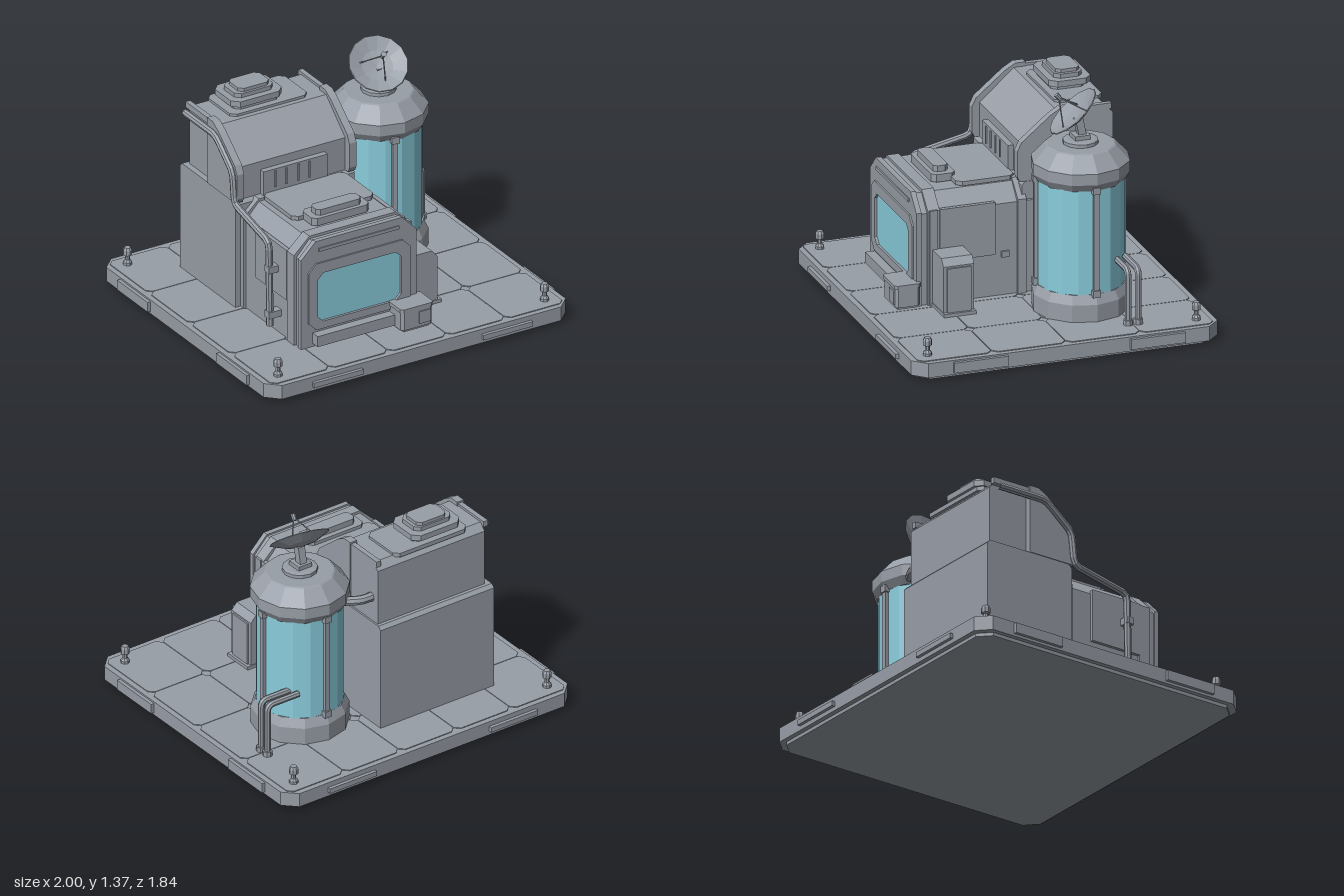
import * as THREE from 'three';

export function createModel() {
  const root = new THREE.Group();
  const grey = new THREE.MeshStandardMaterial({ color: 0x989ea7 });
  grey.name = 'panel grey';
  const cyan = new THREE.MeshStandardMaterial({ color: 0x8acddd });
  cyan.name = 'glass cyan';

  const flat = (g) => {
    const f = g.index ? g.toNonIndexed() : g;
    f.computeVertexNormals();
    return f;
  };
  const add = (name, geo, mat = grey) => {
    const m = new THREE.Mesh(geo, mat);
    m.name = name;
    root.add(m);
    return m;
  };
  // box given by its min and max on each axis
  const box = (name, x0, x1, y0, y1, z0, z1, mat) =>
    add(name, new THREE.BoxGeometry(x1 - x0, y1 - y0, z1 - z0)
      .translate((x0 + x1) / 2, (y0 + y1) / 2, (z0 + z1) / 2), mat);
  const shapeOf = (pts) => new THREE.Shape(pts.map(([a, b]) => new THREE.Vector2(a, b)));
  const extrude = (shape, depth) => new THREE.ExtrudeGeometry(shape, { depth, bevelEnabled: false });
  // rectangle with cut corners
  const cutRect = (x0, x1, y0, y1, c) => [
    [x0 + c, y0], [x1 - c, y0], [x1, y0 + c], [x1, y1 - c],
    [x1 - c, y1], [x0 + c, y1], [x0, y1 - c], [x0, y0 + c]];
  // horizontal slab with cut corners
  const slab = (name, x0, x1, z0, z1, y0, y1, c) =>
    add(name, extrude(shapeOf(cutRect(x0, x1, -z1, -z0, c)), y1 - y0).rotateX(-Math.PI / 2).translate(0, y0, 0));
  // upright outline in x, y run along z
  const alongZ = (name, pts, z0, z1, mat) =>
    add(name, extrude(shapeOf(pts), z1 - z0).translate(0, 0, z0), mat);
  // side outline in z, y run along x
  const alongX = (name, pts, x0, x1) =>
    add(name, extrude(shapeOf(pts), x1 - x0).rotateY(-Math.PI / 2).translate(x1, 0, 0));
  const lathe = (name, pts, sides, x, z, mat) =>
    add(name, flat(new THREE.LatheGeometry(pts.map(([r, y]) => new THREE.Vector2(r, y)), sides)).translate(x, 0, z), mat);
  // pipe with mitred straight runs
  const pipe = (name, pts, r) => {
    const path = new THREE.CurvePath();
    const v = pts.map((p) => new THREE.Vector3(...p));
    let from = v[0];
    for (let i = 1; i < v.length - 1; i++) {
      const bend = Math.min(0.04, v[i].distanceTo(v[i - 1]) / 3, v[i].distanceTo(v[i + 1]) / 3);
      const a = v[i].clone().add(v[i - 1].clone().sub(v[i]).setLength(bend));
      const b = v[i].clone().add(v[i + 1].clone().sub(v[i]).setLength(bend));
      path.add(new THREE.LineCurve3(from, a));
      path.add(new THREE.QuadraticBezierCurve3(a, v[i], b));
      from = b;
    }
    path.add(new THREE.LineCurve3(from, v[v.length - 1]));
    return add(name, flat(new THREE.TubeGeometry(path, 48, r, 8)));
  };

  // Base platform with deck tiles and edge tabs
  slab('baseFoot', -0.95, 0.95, -0.87, 0.87, 0, 0.03, 0.07);
  slab('basePlatform', -0.98, 0.98, -0.9, 0.9, 0.02, 0.105, 0.075);
  for (let i = 0; i < 5; i++) for (let j = 0; j < 4; j++) {
    const x = -0.95 + i * 0.38, z = -0.87 + j * 0.435;
    slab('deckTile', x + 0.002, x + 0.378, z + 0.002, z + 0.433, 0.104, 0.11, 0.03);
  }
  for (const s of [-1, 1]) {
    for (const t of [-1, 1]) {
      const mid = 0.55 * t;
      box('edgeTab', mid - 0.16, mid + 0.16, 0.045, 0.075, s * 0.905 - 0.015, s * 0.905 + 0.015);
      box('sideTab', s * 0.985 - 0.015, s * 0.985 + 0.015, 0.035, 0.095, t * 0.52 - 0.16, t * 0.52 + 0.16);
      // corner bollards
      lathe('cornerPost', [[0, 0.1], [0.026, 0.1], [0.026, 0.125], [0.014, 0.14], [0.014, 0.165],
        [0.026, 0.17], [0.026, 0.2], [0.018, 0.215], [0, 0.215]], 8, s * 0.865, t * 0.79);
    }
  }

  // Front cabin
  const arch = (o) => [[-0.595 - o, 0.1], [0.155 + o, 0.1], [0.155 + o, 0.66 + o], [0.06, 0.755 + o],
    [-0.5, 0.755 + o], [-0.595 - o, 0.66 + o]];
  alongZ('cabinBody', arch(-0.01), -0.1, 0.575);
  alongZ('cabinRib', arch(0.006), 0.46, 0.53);
  alongZ('cabinRearRib', arch(0.006), -0.05, 0.0);
  const frame = shapeOf(arch(0));
  frame.holes.push(new THREE.Path(cutRect(-0.5, 0.06, 0.245, 0.565, 0.035).map(([a, b]) => new THREE.Vector2(a, b))));
  add('windowFrame', extrude(frame, 0.03).translate(0, 0, 0.565));
  const trim = shapeOf(cutRect(-0.55, 0.11, 0.21, 0.62, 0.05));
  trim.holes.push(new THREE.Path(cutRect(-0.49, 0.05, 0.255, 0.555, 0.035).map(([a, b]) => new THREE.Vector2(a, b))));
  add('windowTrim', extrude(trim, 0.02).translate(0, 0, 0.585));
  alongZ('window', cutRect(-0.498, 0.058, 0.247, 0.563, 0.035), 0.584, 0.59, cyan);
  box('windowHood', -0.48, 0.04, 0.69, 0.71, 0.59, 0.602);
  box('frontSill', -0.52, -0.02, 0.13, 0.195, 0.58, 0.65);

  // Cabin roof panel and hatch
  slab('roofPanel', -0.47, 0.06, -0.02, 0.32, 0.75, 0.775, 0.03);
  slab('hatchBase', -0.41, -0.04, 0.29, 0.43, 0.75, 0.795, 0.025);
  slab('hatchLid', -0.37, -0.08, 0.32, 0.405, 0.79, 0.83, 0.02);

  // Cabin side panels
  box('sidePanel', 0.14, 0.165, 0.36, 0.67, 0.135, 0.46);
  box('sideStrip', 0.15, 0.17, 0.11, 0.67, 0.475, 0.52);
  box('sideSwitch', 0.14, 0.16, 0.335, 0.37, 0.05, 0.095);
  box('leftSidePanel', -0.605, -0.58, 0.36, 0.67, 0.135, 0.46);

  // Rear lower block
  alongX('rearBlock', [[-0.61, 0.1], [-0.03, 0.1], [-0.03, 0.74], [-0.05, 0.76], [-0.59, 0.76], [-0.61, 0.74]], -0.635, 0.14);

  // Upper block with sloped front, ribs and vent panel
  alongX('upperBlock', [[-0.57, 0.75], [-0.05, 0.75], [-0.05, 0.96], [-0.25, 1.14], [-0.53, 1.14], [-0.57, 1.1]], -0.6, 0.13);
  const rib = [[-0.32, 0.76], [-0.02, 0.76], [-0.005, 0.79], [-0.005, 0.94], [-0.03, 0.99], [-0.2, 1.13],
    [-0.26, 1.165], [-0.32, 1.165]];
  for (const x of [-0.64, 0.09]) {
    alongX('upperRib', rib, x, x + 0.046);
    box('roofRail', x + 0.01, x + 0.04, 1.12, 1.155, -0.56, -0.3);
  }
  box('ventPanel', -0.46, -0.045, 0.76, 0.91, -0.06, -0.015);
  for (const x of [-0.39, -0.32, -0.24, -0.17]) box('ventSlat', x, x + 0.01, 0.8, 0.9, -0.02, -0.008);

  // Roof ventilator
  slab('ventBase', -0.5, 0.0, -0.56, -0.28, 1.13, 1.155, 0.03);
  slab('ventTierLow', -0.45, -0.16, -0.52, -0.32, 1.15, 1.18, 0.03);
  slab('ventTierMid', -0.47, -0.14, -0.55, -0.305, 1.175, 1.21, 0.04);
  slab('ventTierTop', -0.43, -0.18, -0.51, -0.345, 1.205, 1.235, 0.03);
  slab('ventCap', -0.4, -0.2, -0.5, -0.36, 1.23, 1.255, 0.025);

  // Storage tank
  const tx = 0.44, tz = -0.265;
  lathe('tankFoot', [[0, 0.1], [0.275, 0.1], [0.275, 0.21], [0.25, 0.262], [0, 0.262]], 12, tx, tz);
  lathe('tankGlass', [[0.245, 0.255], [0.245, 0.88]], 16, tx, tz, cyan);
  lathe('tankDome', [[0, 0.875], [0.25, 0.875], [0.278, 0.92], [0.278, 0.985], [0.2, 1.07], [0.19, 1.075], [0, 1.075]], 12, tx, tz);
  lathe('tankCap', [[0.1, 1.07], [0.1, 1.095], [0.08, 1.1], [0, 1.1]], 12, tx, tz);
  for (const a of [0, 1, 2, 3].map((i) => i * Math.PI / 2)) {
    // upright stiles with end clamps
    const turn = a === 0 ? -0.19 : a;
    const stile = (name, w, y0, y1, r0, r1) =>
      add(name, new THREE.BoxGeometry(w, y1 - y0, r1 - r0).translate(0, (y0 + y1) / 2, (r0 + r1) / 2)
        .rotateY(turn).translate(tx, 0, tz));
    stile('tankStile', 0.03, 0.25, 0.9, 0.23, 0.262);
    stile('tankClampLow', 0.045, 0.25, 0.29, 0.23, 0.27);
    stile('tankClampHigh', 0.045, 0.86, 0.9, 0.23, 0.27);
  }

  // Dish antenna on top of the tank
  box('dishMount', 0.39, 0.48, 1.09, 1.125, -0.31, -0.22);
  const mast = box('dishMast', -0.022, 0.022, -0.01, 0.11, -0.022, 0.022);
  mast.position.set(0.435, 1.11, -0.275);
  mast.rotation.x = 0.2;
  const dish = new THREE.Group();
  dish.name = 'dishAntenna';
  const part = (name, g) => {
    const m = new THREE.Mesh(flat(g), grey);
    m.name = name;
    dish.add(m);
  };
  part('dishBowl', new THREE.LatheGeometry([[0, -0.05], [0.09, -0.036], [0.172, 0], [0.168, 0.004], [0.09, -0.026], [0, -0.04]]
    .map(([r, y]) => new THREE.Vector2(r, y)), 14));
  const tip = new THREE.Vector3(0, 0.12, 0);
  for (let i = 0; i < 3; i++) {
    const a = i * Math.PI * 2 / 3;
    const foot = new THREE.Vector3(Math.sin(a) * 0.1, -0.022, Math.cos(a) * 0.1);
    part('feedLeg', new THREE.TubeGeometry(new THREE.LineCurve3(foot, tip), 1, 0.004, 5));
  }
  part('feedHorn', new THREE.CylinderGeometry(0.016, 0.012, 0.04, 8).translate(0, 0.12, 0));
  dish.position.set(0.417, 1.252, -0.23);
  dish.quaternion.setFromUnitVectors(new THREE.Vector3(0, 1, 0), new THREE.Vector3(-0.15, 0.74, 0.65).normalize());
  root.add(dish);

  // Pipes
  for (const z of [-0.41, -0.47]) {
    pipe('tankPipe', [[0.6, 0.43, z], [0.81, 0.43, z], [0.81, 0.1, z]], 0.019);
    lathe('pipeFoot', [[0.028, 0.1], [0.028, 0.14], [0, 0.14]], 8, 0.81, z);
  }
  pipe('linkPipe', [[0.1, 0.91, -0.51], [0.2, 0.91, -0.51], [0.32, 0.91, -0.44]], 0.027);
  pipe('sidePipe', [[-0.645, 1.1, -0.54], [-0.645, 1.1, -0.22], [-0.645, 0.95, -0.04], [-0.645, 0.76, -0.02],
    [-0.645, 0.68, 0.34], [-0.645, 0.17, 0.35]], 0.021);
  for (const y of [0.22, 0.5]) box('pipeBracket', -0.665, -0.58, y, y + 0.04, 0.325, 0.375);

  // Side cabinet
  alongZ('cabinet', [[0.15, 0.1], [0.345, 0.1], [0.345, 0.4], [0.31, 0.44], [0.15, 0.44]], 0.325, 0.505);
  box('cabinetDoor', 0.34, 0.355, 0.13, 0.39, 0.345, 0.485);
  box('cabinetBase', 0.15, 0.37, 0.1, 0.13, 0.32, 0.51);

  // Front utility box
  slab('utilityBox', -0.02, 0.18, 0.58, 0.725, 0.125, 0.245, 0.015);
  slab('utilityLid', -0.025, 0.185, 0.575, 0.73, 0.235, 0.257, 0.015);
  box('utilityFoot', 0.0, 0.16, 0.1, 0.13, 0.59, 0.71);
  box('utilityDoor', 0.09, 0.165, 0.145, 0.22, 0.72, 0.732);

  return root;
}
